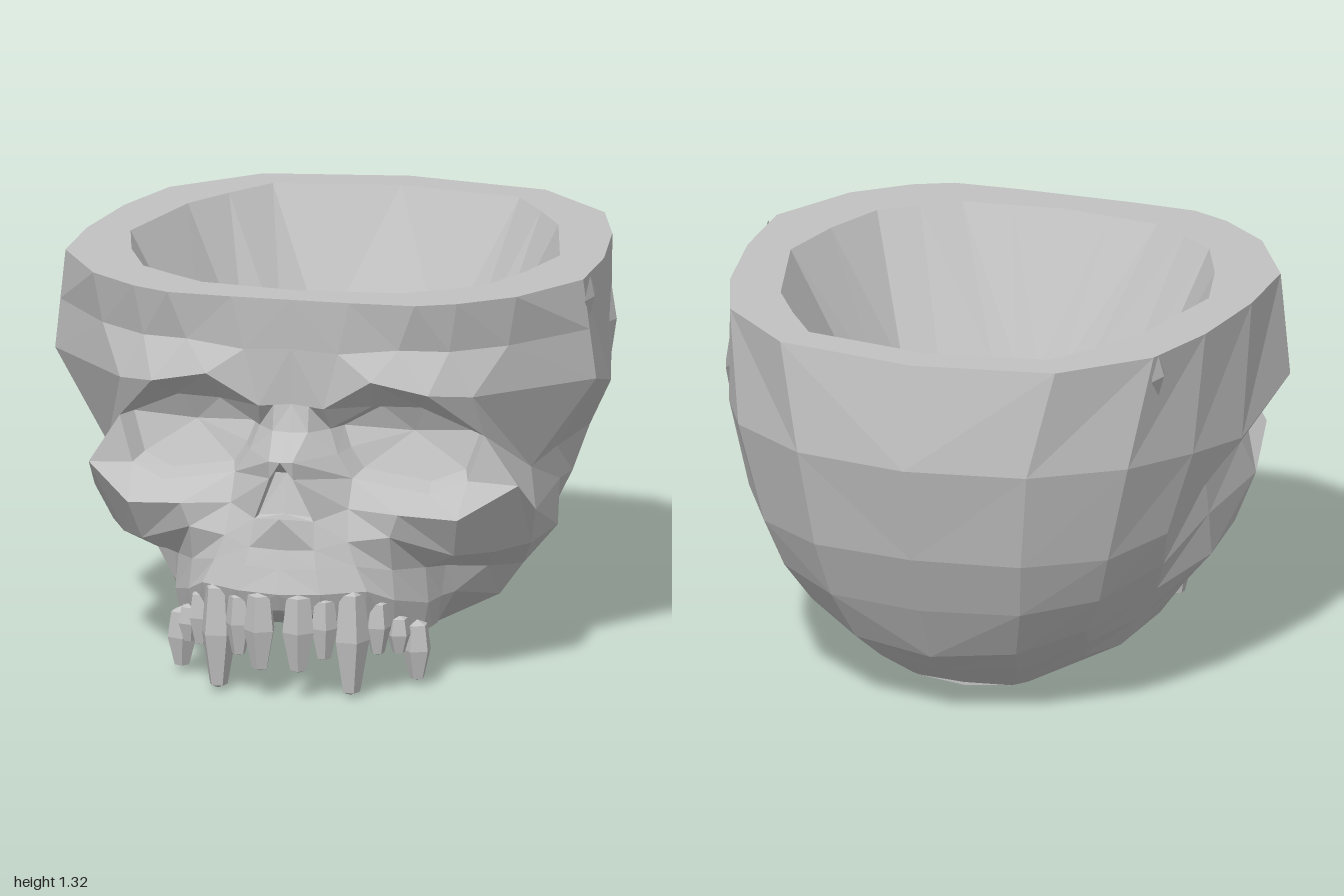
import * as THREE from 'three';

const bone = new THREE.MeshStandardMaterial({ color: 0xc1c1c1, flatShading: true, side: THREE.DoubleSide });
bone.name = 'bone grey';

// Joins rows of points (top to bottom, left to right seen from outside) and mirrors them across x
function sheet(name, rows) {
  const pos = [];
  const tri = (a, b, c) => {
    const n = new THREE.Vector3().subVectors(b, a).cross(new THREE.Vector3().subVectors(c, a));
    if (n.length() < 1e-6) return;
    for (const p of [a, b, c]) pos.push(p.x, p.y, p.z);
    for (const p of [a, c, b]) pos.push(-p.x, p.y, p.z);
  };
  const v = rows.map(r => r.map(p => new THREE.Vector3(...p)));
  for (let r = 0; r + 1 < v.length; r++) {
    for (let c = 0; c + 1 < v[r].length; c++) {
      tri(v[r][c], v[r + 1][c], v[r + 1][c + 1]);
      tri(v[r][c], v[r + 1][c + 1], v[r][c + 1]);
    }
  }
  const g = new THREE.BufferGeometry();
  g.setAttribute('position', new THREE.Float32BufferAttribute(pos, 3));
  g.computeVertexNormals();
  const m = new THREE.Mesh(g, bone);
  m.name = name;
  return m;
}

export function createModel() {
  const group = new THREE.Group();
  group.name = 'skullBowl';

  // Back and sides of the head: rings from the rim down, back to front
  const baseEdge = [[0, 0.01, -0.37], [0.18, 0.02, -0.36], [0.4, 0.13, -0.31], [0.49, 0.14, -0.2], [0.54, 0.17, 0.06], [0.48, 0.27, 0.45]];
  const cranium = [
    [[0, 1.32, -0.93], [0.48, 1.32, -0.85], [0.74, 1.32, -0.6], [0.83, 1.32, -0.33], [0.88, 1.32, 0], [0.88, 1.32, 0.3]],
    [[0, 0.97, -1], [0.4, 0.96, -0.91], [0.68, 0.95, -0.69], [0.81, 0.92, -0.4], [0.88, 0.88, -0.1], [0.92, 0.98, 0.28]],
    [[0, 0.63, -0.92], [0.36, 0.62, -0.85], [0.6, 0.61, -0.66], [0.73, 0.64, -0.43], [0.72, 0.67, 0], [0.72, 0.69, 0.37]],
    [[0, 0.42, -0.83], [0.33, 0.42, -0.77], [0.55, 0.44, -0.6], [0.69, 0.5, -0.35], [0.73, 0.56, 0], [0.75, 0.56, 0.43]],
    [[0, 0.22, -0.72], [0.28, 0.24, -0.66], [0.48, 0.3, -0.52], [0.64, 0.38, -0.27], [0.73, 0.41, 0.03], [0.71, 0.42, 0.33]],
    [[0, 0.115, -0.55], [0.24, 0.13, -0.52], [0.45, 0.22, -0.42], [0.57, 0.26, -0.24], [0.62, 0.28, 0.06], [0.56, 0.33, 0.32]],
    baseEdge,
  ];
  const reversed = rows => rows.map(r => r.slice().reverse());
  group.add(sheet('cranium', reversed(cranium)));

  // Flat underside
  group.add(sheet('skullBase', reversed([
    baseEdge,
    [[0, 0.01, -0.37], [0.16, 0.01, -0.35], [0.2, 0.01, -0.3], [0.23, 0.01, -0.2], [0.25, 0.02, 0.03], [0.42, 0.16, 0.45]],
    [[0, 0, -0.37], [0, 0, -0.35], [0, 0, -0.3], [0, 0, -0.2], [0, 0.02, 0.03], [0, 0.16, 0.45]],
  ])));

  // Rim and hollow bowl: outer edge, inner edge, floor, floor centre
  const outer = [[0, -0.93], [0.48, -0.85], [0.74, -0.6], [0.83, -0.33], [0.88, 0], [0.88, 0.3],
    [0.72, 0.58], [0.55, 0.72], [0.42, 0.78], [0.2, 0.79], [0, 0.79]];
  const inner = [[0, -0.8], [0.42, -0.73], [0.53, -0.57], [0.63, -0.4], [0.73, 0], [0.67, 0.24],
    [0.58, 0.45], [0.46, 0.54], [0.34, 0.62], [0.17, 0.64], [0, 0.66]];
  const floor = [[0, -0.52], [0.2, -0.52], [0.31, -0.4], [0.41, -0.3], [0.48, 0], [0.46, 0.11],
    [0.42, 0.25], [0.32, 0.32], [0.16, 0.4], [0.08, 0.4], [0, 0.4]];
  const level = (pts, y) => pts.map(([x, z]) => [x, y, z]);
  group.add(sheet('bowl', [level(outer, 1.32), level(inner, 1.32), level(floor, 0.85), floor.map(() => [0, 0.85, 0])]));

  // Forehead down to the brow ridge
  const brow = [[0, 0.96, 0.77], [0.11, 0.95, 0.78], [0.28, 1.06, 0.82], [0.47, 1.02, 0.8], [0.6, 1, 0.7], [0.92, 0.98, 0.28]];
  group.add(sheet('forehead', [
    level([[0, 0.79], [0.2, 0.79], [0.42, 0.78], [0.55, 0.72], [0.72, 0.58], [0.88, 0.3]], 1.32),
    [[0, 1.15, 0.78], [0.16, 1.14, 0.78], [0.36, 1.16, 0.76], [0.52, 1.15, 0.7], [0.69, 1.15, 0.57], [0.9, 1.15, 0.29]],
    brow,
  ]));

  // Underside of the brow and the temple hollow
  const temple = [0.72, 0.69, 0.37];
  const lidTop = [[0.12, 0.87, 0.72], [0.26, 0.95, 0.7], [0.42, 0.95, 0.68], [0.62, 0.85, 0.62]];
  group.add(sheet('browUnderside', [brow.slice(1), [...lidTop, temple]]));

  // Eye sockets
  const lidLow = [[0.2, 0.71, 0.74], [0.45, 0.66, 0.7], [0.57, 0.7, 0.65], lidTop[3]];
  const socket = [...lidTop, lidLow[2], lidLow[1], lidLow[0], [0.15, 0.79, 0.74], lidTop[0]];
  const deep = [0.37, 0.84, 0.56];
  group.add(sheet('eyeSockets', [
    socket,
    socket.map(([x, y, z]) => [deep[0] + (x - deep[0]) * 0.88, deep[1] + (y - deep[1]) * 0.86, z - 0.08]),
    socket.map(() => deep),
  ]));

  // Cheekbones
  const cheek = [[0.2, 0.62, 0.8], [0.37, 0.61, 0.81], [0.56, 0.59, 0.76], [0.73, 0.68, 0.6], [0.75, 0.56, 0.43]];
  group.add(sheet('cheekbones', [[...lidLow, temple], cheek]));

  // Upper jaw: face, tuck under the cheeks, gum line, lower edge and palate
  group.add(sheet('upperJaw', [
    [[0, 0.61, 0.95], [0.1, 0.59, 0.88], ...cheek],
    [[0, 0.5, 0.93], [0.11, 0.5, 0.91], [0.21, 0.52, 0.85], [0.34, 0.53, 0.8], [0.53, 0.45, 0.68], [0.63, 0.43, 0.52], [0.71, 0.42, 0.33]],
    [[0, 0.44, 0.95], [0.12, 0.44, 0.93], [0.24, 0.44, 0.86], [0.34, 0.41, 0.76], [0.42, 0.39, 0.62], [0.46, 0.37, 0.5], [0.56, 0.33, 0.32]],
    [[0, 0.36, 0.98], [0.14, 0.36, 0.95], [0.28, 0.36, 0.87], [0.35, 0.31, 0.77], [0.43, 0.27, 0.62], [0.45, 0.27, 0.52], [0.48, 0.27, 0.45]],
    [[0, 0.3, 0.95], [0.13, 0.28, 0.92], [0.26, 0.25, 0.84], [0.34, 0.19, 0.74], [0.41, 0.17, 0.62], [0.42, 0.165, 0.52], [0.42, 0.16, 0.45]],
    [[0, 0.3, 0.83], [0.08, 0.3, 0.8], [0.18, 0.3, 0.73], [0.25, 0.28, 0.65], [0.3, 0.25, 0.57], [0.29, 0.2, 0.5], [0.25, 0.16, 0.45]],
    [[0, 0.3, 0.83], [0, 0.31, 0.78], [0, 0.31, 0.72], [0, 0.3, 0.64], [0, 0.27, 0.56], [0, 0.21, 0.5], [0, 0.16, 0.45]],
  ]));

  // Nose bridge and the sides of the nose
  group.add(sheet('noseBridge', [
    [[0, 0.96, 0.77], [0.06, 0.955, 0.775], [0.11, 0.95, 0.78]],
    [[0, 0.87, 0.8], [0.06, 0.87, 0.79], [0.12, 0.87, 0.72]],
    [[0, 0.8, 0.94], [0.04, 0.8, 0.93], [0.15, 0.79, 0.74]],
    [[0.04, 0.74, 0.92], [0.04, 0.74, 0.92], [0.2, 0.71, 0.74]],
    [[0.1, 0.59, 0.88], [0.1, 0.59, 0.88], [0.2, 0.62, 0.8]],
  ]));

  // Nose opening: tip underside, back, side wall and floor
  group.add(sheet('noseOpening', [
    [[0, 0.8, 0.94], [0.04, 0.8, 0.93], [0.04, 0.74, 0.92]],
    [[0, 0.74, 0.83], [0.04, 0.74, 0.83], [0.04, 0.74, 0.92]],
    [[0, 0.61, 0.87], [0.09, 0.6, 0.86], [0.1, 0.59, 0.88]],
    [[0, 0.61, 0.95], [0.1, 0.59, 0.88], [0.1, 0.59, 0.88]],
  ]));

  // Teeth: x, top, bottom, z, half width
  const teeth = [
    [0.065, 0.37, 0.09, 0.945, 0.055],
    [0.145, 0.35, 0.13, 0.915, 0.046],
    [0.225, 0.38, 0.005, 0.87, 0.062],
    [0.3, 0.32, 0.13, 0.8, 0.046],
    [0.355, 0.25, 0.12, 0.73, 0.042],
    [0.4, 0.22, 0.015, 0.655, 0.05],
  ];
  for (const [x, top, bottom, z, w] of teeth) {
    const h = top - bottom;
    const profile = [[0, 0], [0.5, 0.03], [1, 0.5], [0.75, 0.92], [0, 1]].map(([r, t]) => new THREE.Vector2(r * w, t * h));
    const geo = new THREE.LatheGeometry(profile, 5);
    for (const s of [-1, 1]) {
      const tooth = new THREE.Mesh(geo, bone);
      tooth.name = 'tooth';
      tooth.position.set(s * x, bottom, z);
      tooth.rotation.y = s * x * 2.5;
      group.add(tooth);
    }
  }

  // Battle chips on the sides: position, size
  const chips = [
    [[0.825, 1.03, -0.33], [0.02, 0.13, 0.06]],
    [[0.89, 1.25, 0.24], [0.015, 0.07, 0.08]],
    [[-0.75, 1.25, -0.58], [0.02, 0.07, 0.07]],
  ];
  for (const [p, s] of chips) {
    const chip = new THREE.Mesh(new THREE.OctahedronGeometry(1), bone);
    chip.name = 'chip';
    chip.position.set(...p);
    chip.scale.set(...s);
    group.add(chip);
  }

  // Centre the slightly offset head
  group.children.forEach(m => { m.position.x -= 0.015; });
  return group;
}
